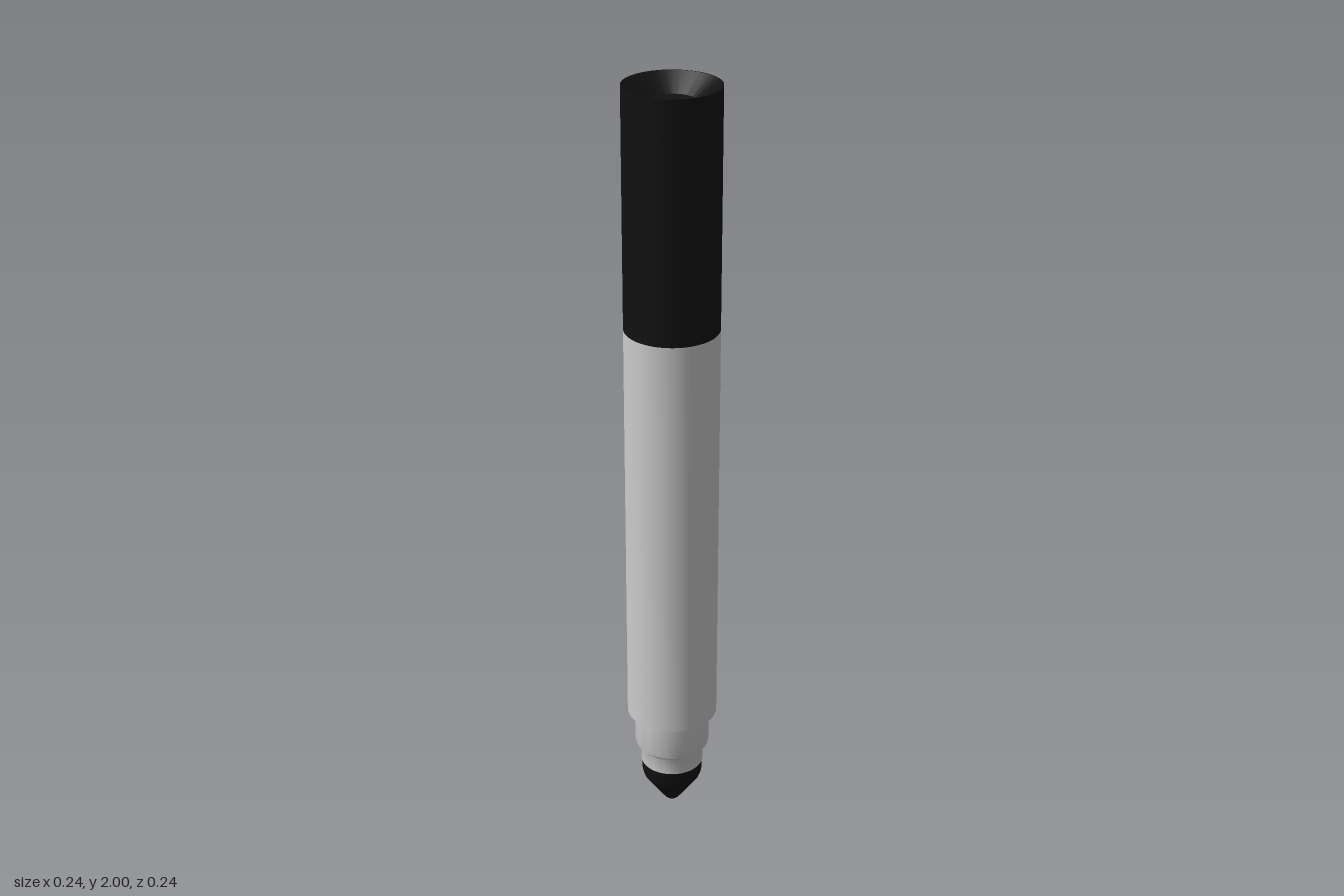
import * as THREE from 'three';
import { toCreasedNormals } from 'three/addons/utils/BufferGeometryUtils.js';

const grey = new THREE.MeshStandardMaterial({ color: 0xcccccc });
const black = new THREE.MeshStandardMaterial({ color: 0x111111 });

// Turned part from [radius, height] pairs, listed bottom to top along the outside
function turned(name, profile, material) {
  const points = profile.map(([r, y]) => new THREE.Vector2(r, y));
  const geometry = toCreasedNormals(new THREE.LatheGeometry(points, 64), 0.5);
  const mesh = new THREE.Mesh(geometry, material);
  mesh.name = name;
  return mesh;
}

export function createModel() {
  const pen = new THREE.Group();
  pen.name = 'markerPen';

  // Rounded conical felt tip
  pen.add(turned('nib', [
    [0, 0], [0.008, 0.003], [0.018, 0.011], [0.028, 0.024],
    [0.074, 0.09], [0.078, 0.1], [0.08, 0.11], [0.08, 0.14], [0, 0.14],
  ], black));

  // Stepped collar between nib and barrel
  pen.add(turned('neck', [
    [0, 0.14], [0.082, 0.14], [0.083, 0.185], [0.087, 0.193],
    [0.096, 0.2], [0.098, 0.208], [0.098, 0.31],
  ], grey));

  // Barrel with a flat shoulder underneath
  pen.add(turned('barrel', [[0.09, 0.302], [0.118, 0.302], [0.118, 1.4]], grey));

  // Dark end section with a dished top
  pen.add(turned('endCap', [
    [0.118, 1.4], [0.118, 2], [0.115, 2], [0.06, 1.96], [0, 1.96],
  ], black));

  return pen;
}
